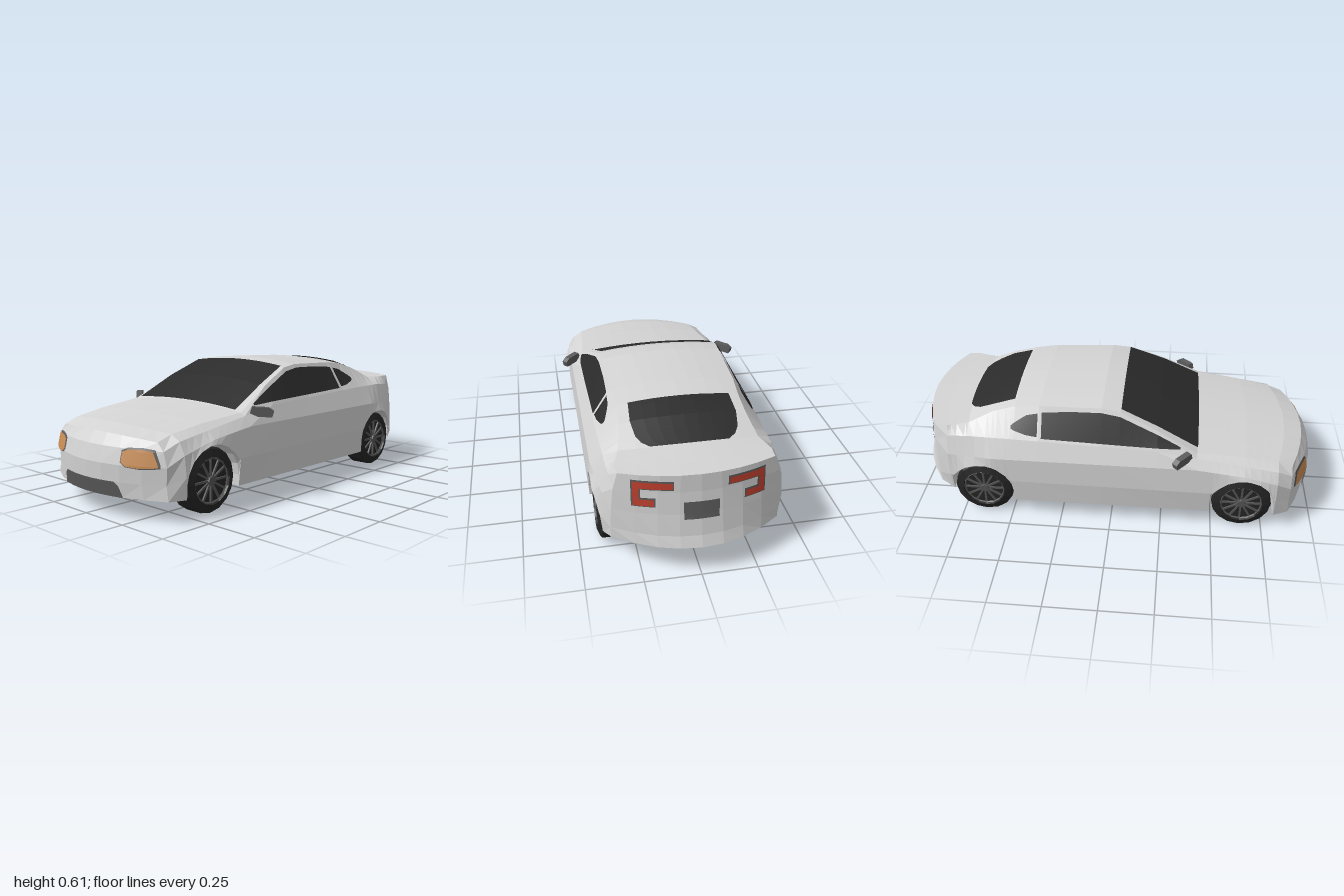
import * as THREE from 'three';

const mat = (name, color, double) => {
  const m = new THREE.MeshStandardMaterial({ color, flatShading: true });
  m.name = name;
  if (double) m.side = THREE.DoubleSide;
  return m;
};

// Lengthwise body lines, front to back, as [z, x, y]
const RAIL = [[0.87, 0.33, 0.335], [0.8, 0.335, 0.36], [0.64, 0.345, 0.385], [0.41, 0.365, 0.408],
  [0.22, 0.337, 0.505], [0.04, 0.305, 0.58], [-0.05, 0.298, 0.591], [-0.35, 0.29, 0.58],
  [-0.47, 0.28, 0.565], [-0.58, 0.285, 0.533], [-0.7, 0.31, 0.476], [-0.8, 0.34, 0.474], [-0.86, 0.335, 0.475]];
const BELT = [[0.87, 0.365, 0.3], [0.8, 0.385, 0.335], [0.41, 0.39, 0.395], [0.22, 0.39, 0.425],
  [-0.47, 0.379, 0.44], [-0.7, 0.372, 0.44], [-0.8, 0.365, 0.43], [-0.86, 0.355, 0.4]];
const CREASE = [[0.87, 0.385, 0.235], [0.8, 0.415, 0.28], [0.64, 0.425, 0.325], [0.41, 0.425, 0.352],
  [-0.58, 0.424, 0.348], [-0.8, 0.395, 0.34], [-0.86, 0.365, 0.3]];
const FLANK = [[0.87, 0.38, 0.16], [0.8, 0.425, 0.19], [0.64, 0.435, 0.22], [-0.7, 0.43, 0.22],
  [-0.8, 0.405, 0.22], [-0.86, 0.37, 0.2]];
const SILL = [[0.87, 0.39, 0.095], [0.8, 0.42, 0.095], [-0.47, 0.425, 0.095], [-0.7, 0.42, 0.11],
  [-0.8, 0.395, 0.13], [-0.86, 0.37, 0.15]];
const LINES = [RAIL, BELT, CREASE, FLANK, SILL];
const FRONT_BOW = [0.07, 0.105, 0.125, 0.122, 0.11];
const REAR_BOW = [-0.08, -0.085, -0.1, -0.12, -0.14];
const AXLES = [0.64, -0.635], ARCH = 0.155, HUB_Y = 0.145, WELL_X = 0.3;
const T = Array.from({ length: 9 }, (_, i) => i / 4 - 1);

// Point [x, y] of a body line at z
function lineAt(line, z) {
  let i = 0;
  while (i < line.length - 2 && z < line[i + 1][0]) i++;
  const a = line[i], b = line[i + 1], f = (a[0] - z) / (a[0] - b[0]);
  return [a[1] + (b[1] - a[1]) * f, a[2] + (b[2] - a[2]) * f];
}

// Cross-section at z; raised adds the wheel arch opening
function section(z, raised = true) {
  const pts = LINES.map(line => lineAt(line, z));
  const sill = pts[4][1];
  let top = sill;
  for (const c of AXLES) {
    const d = Math.abs(z - c);
    if (raised && d < ARCH + 1e-6) top = HUB_Y + Math.sqrt(Math.max(0, ARCH * ARCH - d * d));
  }
  pts[3][1] = Math.max(pts[3][1], top + 0.005);
  pts[4][1] = top;
  pts.push([WELL_X, top], [WELL_X, sill], [0, sill]);
  const crown = 0.022 + 0.04 * Math.min(0, z + 0.5);
  const bow = z > 0 ? 0.07 * (z / 0.87) ** 4 : -0.08 * (z / 0.86) ** 6;
  return { z, crown, bow, pts };
}

// Point on a row running across the car, t from -1 to 1
function across(s, j, t, bow = s.bow) {
  const [x, y] = s.pts[j], k = 1 - t * t;
  return [t * x, y + s.crown * [1, 0.3, 0, 0, 0][j] * k, s.z + bow * k];
}

// Point on the front or rear face at a given x and y
function onFace(s, bows, x, y) {
  const rows = bows.map((b, j) => across(s, j, THREE.MathUtils.clamp(x / s.pts[j][0], -1, 1), b));
  let j = 0;
  while (j < 3 && y < rows[j + 1][1]) j++;
  const f = (y - rows[j][1]) / (rows[j + 1][1] - rows[j][1]);
  return [x, y, rows[j][2] + (rows[j + 1][2] - rows[j][2]) * f];
}

// Surface through rows of points
function grid(rows) {
  const n = rows[0].length, index = [];
  for (let r = 0; r < rows.length - 1; r++)
    for (let c = 0; c < n - 1; c++) {
      const a = r * n + c, b = a + n;
      index.push(a, b, a + 1, b, b + 1, a + 1);
    }
  const g = new THREE.BufferGeometry();
  g.setAttribute('position', new THREE.Float32BufferAttribute(rows.flat(2), 3));
  g.setIndex(index);
  g.computeVertexNormals();
  return g;
}

// Thin plate laid on a surface; cols are [u, low, high]
function plate(cols, place, nu = 4, nv = 8) {
  const rows = [];
  for (let i = 0; i < cols.length - 1; i++)
    for (let k = i ? 1 : 0; k <= nu; k++) {
      const [u, lo, hi] = cols[i].map((n, q) => n + (cols[i + 1][q] - n) * k / nu);
      rows.push(Array.from({ length: nv + 1 }, (_, v) => place(u, lo + (hi - lo) * v / nv)));
    }
  return grid(rows);
}

export function createModel() {
  const car = new THREE.Group();
  car.name = 'car';
  const paint = mat('silverPaint', 0xd4d4d4, true), glass = mat('darkGlass', 0x2b2b2b, true);
  const rubber = mat('rubber', 0x252525, true), rimGrey = mat('rimGrey', 0x555555);
  const trim = mat('greyTrim', 0x5c5c5c, true), amber = mat('amberLamp', 0xc98d55, true);
  const red = mat('redLamp', 0xc0402f, true);
  const add = (name, geo, m, parent = car) => {
    const mesh = new THREE.Mesh(geo, m);
    mesh.name = name;
    parent.add(mesh);
    return mesh;
  };

  // Stations: rail points plus wheel arch steps
  const list = RAIL.map(p => [p[0], true]);
  for (const c of AXLES) {
    list.push([c + ARCH, false], [c + ARCH, true]);
    for (let k = 1; k < 9; k++) list.push([c + ARCH * Math.cos(k * Math.PI / 9), true]);
    list.push([c - ARCH, true], [c - ARCH, false]);
  }
  list.sort((a, b) => b[0] - a[0]);
  const stations = list.map(([z, raised]) => section(z, raised));
  const front = stations[0], rear = stations[stations.length - 1];

  // Painted shell
  add('hoodRoofAndTrunk', grid(stations.map(s => T.map(t => across(s, 0, t)))), paint);
  for (const m of [1, -1])
    add(m > 0 ? 'leftSide' : 'rightSide',
      grid(stations.map(s => s.pts.map(([x, y]) => [m * x, y, s.z]))), paint);
  for (const [name, s, bows] of [['front', front, FRONT_BOW], ['rear', rear, REAR_BOW]]) {
    add(name + 'Bumper', grid(bows.map((b, j) => T.map(t => across(s, j, t, b)))), paint);
    add(name + 'Floor', grid([0, bows[4]].map(b => T.map(t => across(s, 4, t, b)))), paint);
  }

  // Windscreen and rear window
  const onTop = (z, t) => {
    const [x, y, pz] = across(section(z), 0, t);
    return [x, y + 0.006, pz + (z > 0 ? 0.003 : -0.002)];
  };
  const sym = cols => cols.map(([u, h]) => [u, -h, h]);
  add('windscreen', plate(sym([[0.41, 0.91], [0.22, 0.93], [0.04, 0.95]]), onTop), glass);
  add('rearWindow', plate(sym([[-0.475, 0.83], [-0.58, 0.84], [-0.65, 0.76], [-0.68, 0.68], [-0.7, 0.56]]), onTop), glass);

  // Side windows, lamps and mirrors on both sides
  const mirrorShape = new THREE.Shape([[-0.055, -0.005], [-0.045, 0.024], [0.03, 0.02], [0.053, 0.004],
    [0.045, -0.024], [-0.02, -0.02]].map(p => new THREE.Vector2(...p)));
  const mirrorGeo = new THREE.ExtrudeGeometry(mirrorShape, { depth: 0.03, bevelEnabled: false });
  mirrorGeo.translate(0, 0, -0.015);
  const rearAt = off => (x, y) => {
    const p = onFace(rear, REAR_BOW, x, y);
    return [p[0], p[1], p[2] - off];
  };
  const frontAt = off => (x, y) => {
    const p = onFace(front, FRONT_BOW, x, y);
    return [p[0] + Math.sign(x) * off * 0.4, p[1], p[2] + off];
  };
  const onSide = (z, y) => {
    const [[x0, y0], [x1, y1]] = section(z).pts;
    return [x0 + (x1 - x0) * (y - y0) / (y1 - y0) + 0.005, y + 0.003, z];
  };
  for (const m of [1, -1]) {
    const side = new THREE.Group();
    side.name = m > 0 ? 'leftFittings' : 'rightFittings';
    side.scale.x = m;
    car.add(side);
    add('doorWindow', plate([[0.33, 0.43, 0.438], [0.22, 0.437, 0.49], [0.04, 0.441, 0.56], [-0.05, 0.443, 0.572],
      [-0.2, 0.446, 0.567], [-0.335, 0.449, 0.555]], onSide), glass, side);
    add('quarterWindow', plate([[-0.355, 0.455, 0.55], [-0.41, 0.46, 0.538], [-0.47, 0.474, 0.503],
      [-0.485, 0.48, 0.492]], onSide), glass, side);

    add('headlampSurround', plate([[0.195, 0.248, 0.297], [0.22, 0.23, 0.309], [0.28, 0.224, 0.312],
      [0.335, 0.228, 0.306], [0.362, 0.232, 0.246]], frontAt(0.003)), trim, side);
    add('headlamp', plate([[0.2, 0.25, 0.292], [0.225, 0.234, 0.303], [0.28, 0.228, 0.305],
      [0.328, 0.232, 0.3], [0.355, 0.237, 0.243]], frontAt(0.007)), amber, side);

    // C-shaped tail lamp: upper bar, lower bar, outer upright
    for (const [x0, x1, y0, y1] of [[0.12, 0.28, 0.42, 0.45], [0.195, 0.28, 0.34, 0.37], [0.255, 0.28, 0.37, 0.42]]) {
      const e = 0.006;
      add('tailLampFrame', plate([[x0 - e, y0 - e, y1 + e], [x1 + e, y0 - e, y1 + e]], rearAt(0.003)), trim, side);
      add('tailLamp', plate([[x0, y0, y1], [x1, y0, y1]], rearAt(0.007)), red, side);
    }

    const mirror = add('doorMirror', mirrorGeo, trim, side);
    mirror.position.set(0.43, 0.41, 0.34);
    mirror.rotation.y = 0.75;
  }

  // Lower grille and rear plate panel
  add('lowerGrille', plate([[-0.2, 0.096, 0.104], [-0.185, 0.096, 0.145], [-0.165, 0.096, 0.163],
    [0.165, 0.096, 0.163], [0.185, 0.096, 0.145], [0.2, 0.096, 0.104]], frontAt(0.006), 8), trim);
  add('rearPanel', plate([[-0.075, 0.28, 0.36], [0.075, 0.28, 0.36]], rearAt(0.006)), trim);

  // Wheels
  const tyreGeo = new THREE.LatheGeometry([[0, 0.31], [0.145, 0.31], [0.145, 0.395], [0.138, 0.403], [0.105, 0.415],
    [0.1, 0.398], [0, 0.398]].map(p => new THREE.Vector2(...p)), 16);
  tyreGeo.rotateZ(-Math.PI / 2);
  const ringGeo = new THREE.TorusGeometry(0.099, 0.005, 4, 16).rotateY(Math.PI / 2);
  const hubGeo = new THREE.CylinderGeometry(0.02, 0.024, 0.016, 8).rotateZ(-Math.PI / 2);
  const spokeGeo = new THREE.BoxGeometry(0.01, 0.085, 0.009).translate(0, 0.055, 0);
  for (const m of [1, -1])
    for (const z of AXLES) {
      const wheel = new THREE.Group();
      wheel.name = (z > 0 ? 'front' : 'rear') + (m > 0 ? 'Left' : 'Right') + 'Wheel';
      wheel.position.set(0, HUB_Y, z);
      wheel.scale.x = m;
      car.add(wheel);
      add('tyre', tyreGeo, rubber, wheel);
      add('rimRing', ringGeo, rimGrey, wheel).position.x = 0.404;
      add('hub', hubGeo, rimGrey, wheel).position.x = 0.405;
      for (let k = 0; k < 12; k++) {
        const spoke = add('spoke', spokeGeo, rimGrey, wheel);
        spoke.position.x = 0.401;
        spoke.rotation.x = k * Math.PI / 6;
      }
    }
  return car;
}
